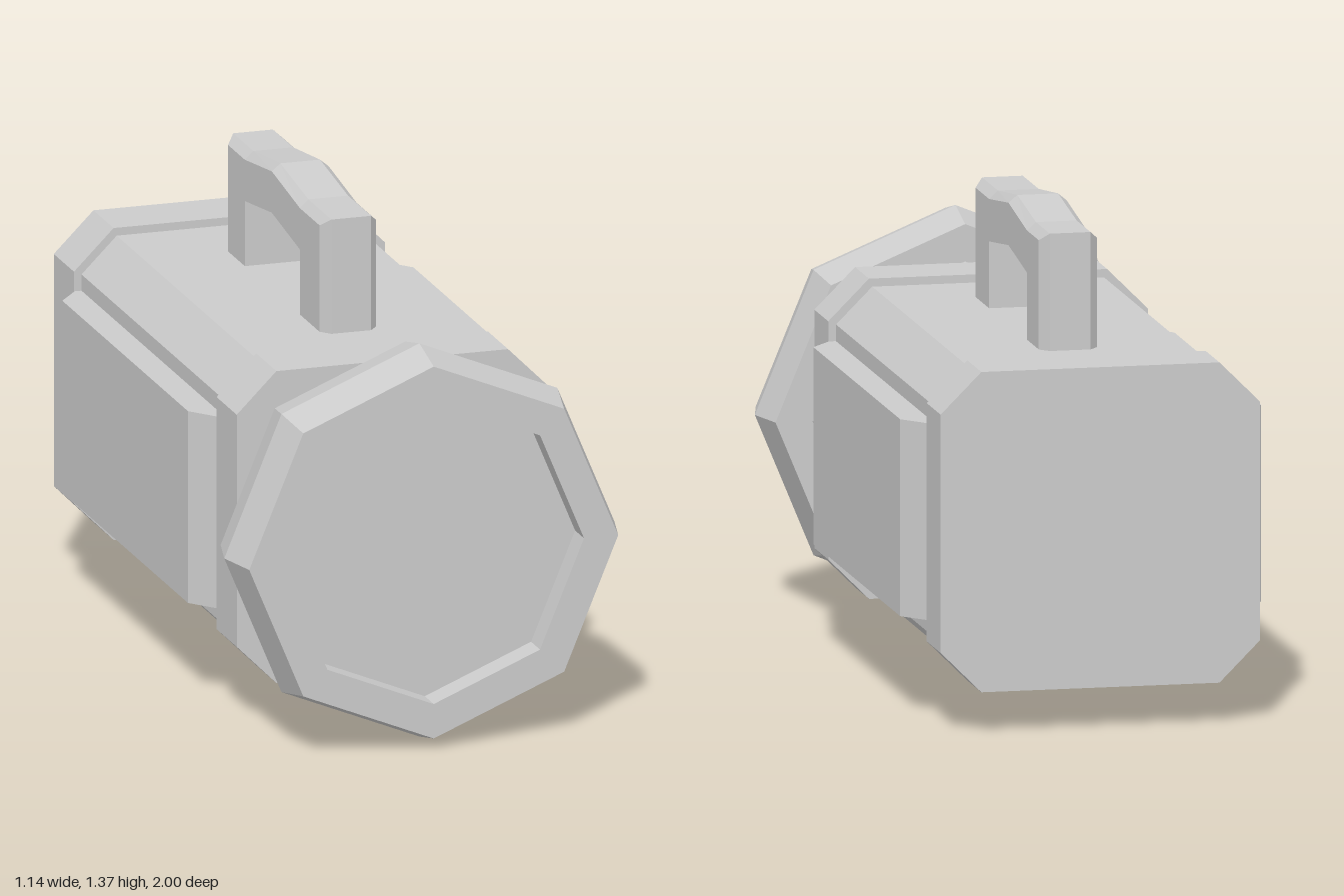
import * as THREE from 'three';

const AXIS_Y = 0.576; // height of the lantern's long axis
const material = new THREE.MeshStandardMaterial({ color: 0xcccccc, flatShading: true });

function addMesh(group, name, geometry) {
  const mesh = new THREE.Mesh(geometry, material);
  mesh.name = name;
  group.add(mesh);
  return mesh;
}

function polygon(points) {
  return new THREE.Shape(points.map(([x, y]) => new THREE.Vector2(x, y)));
}

// Bar along z with a chamfered rectangular section
function chamferedBar(w, h, c, zBack, zFront) {
  const shape = polygon([
    [w - c, -h], [w, -h + c], [w, h - c], [w - c, h],
    [-w + c, h], [-w, h - c], [-w, -h + c], [-w + c, -h],
  ]);
  return new THREE.ExtrudeGeometry(shape, { depth: zFront - zBack, bevelEnabled: false })
    .translate(0, AXIS_Y, zBack);
}

// Eight-sided turned part; profile is [radius, z] from back to front
function octagonTurned(profile) {
  return new THREE.LatheGeometry(profile.map(([r, z]) => new THREE.Vector2(r, z)), 8)
    .rotateX(Math.PI / 2)
    .translate(0, AXIS_Y, 0);
}

// Arched handle lofted through six-point sections, chamfered on its outer edges
function handleGeometry() {
  const wide = 0.083, narrow = 0.058;
  // Each station: outer, inset outer and inner points as [z, y]
  const stations = [
    [[0.265, 0.99], [0.235, 0.99], [0.06, 0.99]],
    [[0.265, 1.338], [0.235, 1.315], [0.06, 1.195]],
    [[0.06, 1.338], [0.06, 1.315], [0.06, 1.195]],
    [[-0.19, 1.371], [-0.19, 1.35], [-0.19, 1.23]],
    [[-0.43, 1.338], [-0.43, 1.315], [-0.43, 1.195]],
    [[-0.61, 1.338], [-0.58, 1.315], [-0.43, 1.195]],
    [[-0.61, 0.99], [-0.58, 0.99], [-0.43, 0.99]],
  ];
  const rings = stations.map(([outer, inset, inner]) => [
    [inner, -wide], [inset, -wide], [outer, -narrow],
    [outer, narrow], [inset, wide], [inner, wide],
  ].map(([[z, y], x]) => new THREE.Vector3(x, y, z)));

  const positions = [];
  const triangle = (a, b, c) => {
    if (a.equals(b) || b.equals(c) || a.equals(c)) return;
    for (const p of [a, b, c]) positions.push(p.x, p.y, p.z);
  };
  for (let i = 0; i < rings.length - 1; i++) {
    for (let k = 0; k < 6; k++) {
      const n = (k + 1) % 6;
      triangle(rings[i][k], rings[i][n], rings[i + 1][n]);
      triangle(rings[i][k], rings[i + 1][n], rings[i + 1][k]);
    }
  }
  const first = rings[0], last = rings[rings.length - 1];
  for (let k = 1; k < 5; k++) {
    triangle(first[0], first[k + 1], first[k]);
    triangle(last[0], last[k], last[k + 1]);
  }
  const geometry = new THREE.BufferGeometry();
  geometry.setAttribute('position', new THREE.Float32BufferAttribute(positions, 3));
  geometry.computeVertexNormals();
  return geometry;
}

export function createModel() {
  const lantern = new THREE.Group();
  lantern.name = 'lantern';

  // Case with a thicker collar at each end
  addMesh(lantern, 'case', chamferedBar(0.433, 0.43, 0.103, -0.83, 0.46));
  addMesh(lantern, 'rearCollar', chamferedBar(0.455, 0.453, 0.116, -1, -0.82));
  addMesh(lantern, 'frontCollar', chamferedBar(0.455, 0.453, 0.116, 0.45, 0.63));

  // Raised side panels with sloped ends
  for (const side of [1, -1]) {
    const panel = new THREE.ExtrudeGeometry(
      polygon([[0.4, -0.45], [0.453, -0.45], [0.514, -0.375], [0.514, 0.745], [0.453, 0.82], [0.4, 0.82]]),
      { depth: 0.557, bevelEnabled: false },
    ).rotateX(-Math.PI / 2).translate(0, 0.299, 0);
    // The half turn swaps front and back, so re-centre along z
    if (side < 0) panel.rotateY(Math.PI).translate(0, 0, -0.37);
    addMesh(lantern, side > 0 ? 'leftPanel' : 'rightPanel', panel);
  }

  // Neck and flared lamp head with a recessed lens
  addMesh(lantern, 'neck', octagonTurned([[0.42, 0.62], [0.435, 0.75]]));
  addMesh(lantern, 'lampHead', octagonTurned([
    [0, 0.745], [0.54, 0.745], [0.571, 0.872], [0.54, 1], [0.44, 1], [0.44, 0.92],
  ]));
  addMesh(lantern, 'lens', octagonTurned([[0.44, 0.92], [0, 0.92]]));

  // Carrying handle
  addMesh(lantern, 'handle', handleGeometry());

  return lantern;
}
